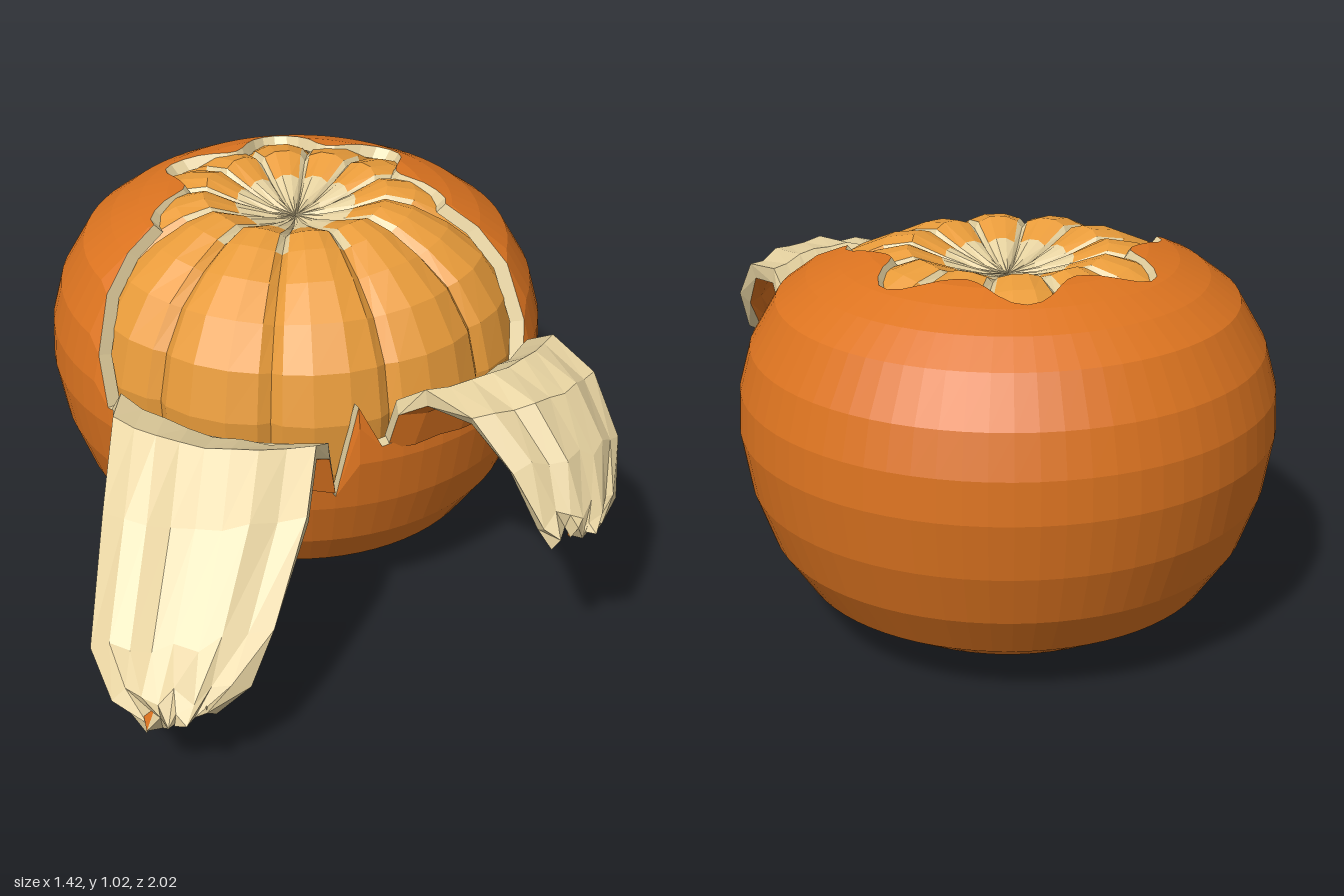
import * as THREE from 'three';

const V = (x, y, z) => new THREE.Vector3(x, y, z);
const CX = -0.01, CZ = -0.3, MID = 0.53;
const material = (color) => new THREE.MeshStandardMaterial({ color, flatShading: true, side: THREE.DoubleSide });
const zest = material(0xdd7420), pith = material(0xe6d2a0), flesh = material(0xe89b3a);

// Faceted grid surface through point(i, j); keep() picks which cells to build
function surface(point, nu, nv, { flip = false, keep = () => true } = {}) {
  const pos = [];
  const tri = (a, b, c) => (flip ? [a, c, b] : [a, b, c]).forEach((p) => pos.push(p.x, p.y, p.z));
  for (let j = 0; j < nv; j++) for (let i = 0; i < nu; i++) {
    if (!keep(i, j)) continue;
    const a = point(i, j), b = point(i + 1, j), c = point(i + 1, j + 1), d = point(i, j + 1);
    if (a.distanceTo(b) > 1e-5 && b.distanceTo(c) > 1e-5) tri(a, b, c);
    if (c.distanceTo(d) > 1e-5 && d.distanceTo(a) > 1e-5) tri(a, c, d);
  }
  const geo = new THREE.BufferGeometry();
  geo.setAttribute('position', new THREE.Float32BufferAttribute(pos, 3));
  geo.computeVertexNormals();
  return geo;
}

function add(group, name, geo, mat) {
  const mesh = new THREE.Mesh(geo, mat);
  mesh.name = name;
  group.add(mesh);
}

// Point on a lathe profile at fractional index t, scaled by k about the middle
function onProfile(profile, t, az, k = 1) {
  const n = Math.min(Math.floor(t), profile.length - 2), f = t - n;
  const r = THREE.MathUtils.lerp(profile[n][0], profile[n + 1][0], f) * k;
  const y = MID + (THREE.MathUtils.lerp(profile[n][1], profile[n + 1][1], f) - MID) * k;
  return V(CX + r * Math.sin(az), y, CZ + r * Math.cos(az));
}

// Peel profile from the base up, and the height index of its torn rim
const peelProfile = [[0, 0], [0.22, 0], [0.42, 0.06], [0.55, 0.14], [0.63, 0.26], [0.68, 0.4], [0.705, 0.55],
  [0.7, 0.66], [0.67, 0.77], [0.6, 0.89], [0.52, 0.95], [0.44, 0.99], [0.36, 1.015], [0.28, 1.02]];
const frontTear = { '-5': 5.9, 0: 5.3, 5: 7.5, 10: 6.4 };
function rim(deg) {
  const a = Math.abs(deg);
  const top = 11.9 - 0.7 * Math.cos(THREE.MathUtils.degToRad(7 * (180 - a)));
  if (a >= 75) return top;
  if (a > 55) return THREE.MathUtils.mapLinear(a, 55, 75, 6.5, 11.2);
  return frontTear[deg] ?? 6.5;
}

function makePeel() {
  const g = new THREE.Group();
  g.name = 'peel';
  const deg = (i) => -180 + i * 5;
  const at = (k) => (i, j) => onProfile(peelProfile, Math.min(j, rim(deg(i))), THREE.MathUtils.degToRad(deg(i)), k);
  add(g, 'peelOutside', surface(at(1), 72, 13), zest);
  add(g, 'peelInside', surface(at(0.94), 72, 13, { flip: true }), pith);
  add(g, 'peelRim', surface((i, j) => at(j ? 0.94 : 1)(i, 13), 72, 1), pith);
  return g;
}

// Segmented fruit with a pale core and pale membranes between segments
function makeFruit() {
  const g = new THREE.Group();
  g.name = 'fruit';
  const profile = [[0, 0.07], [0.38, 0.13], [0.57, 0.3], [0.64, 0.48], [0.65, 0.64], [0.615, 0.78], [0.54, 0.89],
    [0.44, 0.96], [0.34, 1.005], [0.26, 1.02], [0.17, 0.985], [0.08, 0.955], [0, 0.94]];
  const across = [-1, -0.8, -0.3, 0.3, 0.8], n = across.length, segments = 12;
  const point = (i, j) => {
    const u = across[i % n], az = (Math.floor(i / n) + u / 2) * (Math.PI * 2 / segments);
    return onProfile(profile, j, az, 1 - 0.055 * u * u * u * u);
  };
  const pale = (i, j) => j >= 10 || (j >= 8 && (i % n === 0 || i % n === n - 1));
  add(g, 'segments', surface(point, n * segments, 12, { keep: (i, j) => !pale(i, j) }), flesh);
  add(g, 'coreAndMembranes', surface(point, n * segments, 12, { keep: pale }), pith);
  return g;
}

// Strip of peel folded outwards: rows of [edge, edge], bowed across, crumpled at the tip
function makeFlap(name, rows, bow) {
  const g = new THREE.Group();
  g.name = name;
  const nu = 8, nv = rows.length - 1;
  const top = (i, j) => {
    const s = i / nu, [a, b] = rows[j];
    const p = V(...a).lerp(V(...b), s);
    p.addScaledVector(bow, Math.sin(Math.PI * s) * (1 - 0.6 * j / nv));
    const rough = [0.004, 0.004, 0.004, 0.008, 0.012, 0.018, 0.025][j];
    p.y += rough * Math.sin(i * 2.4 + j * 0.9);
    p.z += rough * Math.sin(i * 3.7 + j * 0.6);
    return p;
  };
  const under = (i, j) => {
    const di = top(Math.min(i + 1, nu), j).sub(top(Math.max(i - 1, 0), j));
    const dj = top(i, Math.min(j + 1, nv)).sub(top(i, Math.max(j - 1, 0)));
    return top(i, j).addScaledVector(di.cross(dj).normalize(), -0.045);
  };
  add(g, 'flapInside', surface(top, nu, nv), pith);
  add(g, 'flapOutside', surface(under, nu, nv, { flip: true }), zest);
  const layer = (k) => (k ? top : under);
  for (const i of [0, nu])
    add(g, 'flapSide', surface((j, k) => layer(k)(i, j), nv, 1, { flip: i === 0 }), pith);
  for (const j of [0, nv])
    add(g, 'flapEnd', surface((i, k) => layer(k)(i, j), nu, 1, { flip: j === nv }), pith);
  return g;
}

export function createModel() {
  const model = new THREE.Group();
  model.name = 'peeledFruit';
  model.add(makePeel(), makeFruit());
  // Long flap on the right, shorter arched flap on the left
  model.add(makeFlap('rightFlap', [
    [[-0.01, 0.47, 0.35], [-0.53, 0.58, 0.07]],
    [[-0.03, 0.61, 0.38], [-0.55, 0.67, 0.15]],
    [[-0.08, 0.68, 0.49], [-0.58, 0.69, 0.29]],
    [[-0.13, 0.58, 0.65], [-0.63, 0.54, 0.5]],
    [[-0.24, 0.39, 0.83], [-0.69, 0.32, 0.74]],
    [[-0.31, 0.3, 0.92], [-0.65, 0.28, 0.88]],
    [[-0.4, 0.25, 0.96], [-0.57, 0.25, 0.94]],
  ], V(-0.04, 0.01, 0.1)));
  model.add(makeFlap('leftFlap', [
    [[0.53, 0.59, 0.07], [0.13, 0.59, 0.34]],
    [[0.56, 0.73, 0.14], [0.15, 0.72, 0.38]],
    [[0.6, 0.8, 0.24], [0.21, 0.79, 0.45]],
    [[0.67, 0.77, 0.39], [0.3, 0.78, 0.58]],
    [[0.71, 0.65, 0.51], [0.39, 0.67, 0.66]],
    [[0.69, 0.53, 0.6], [0.46, 0.55, 0.72]],
    [[0.63, 0.48, 0.67], [0.5, 0.52, 0.73]],
  ], V(0.04, 0.03, 0.08)));
  return model;
}
